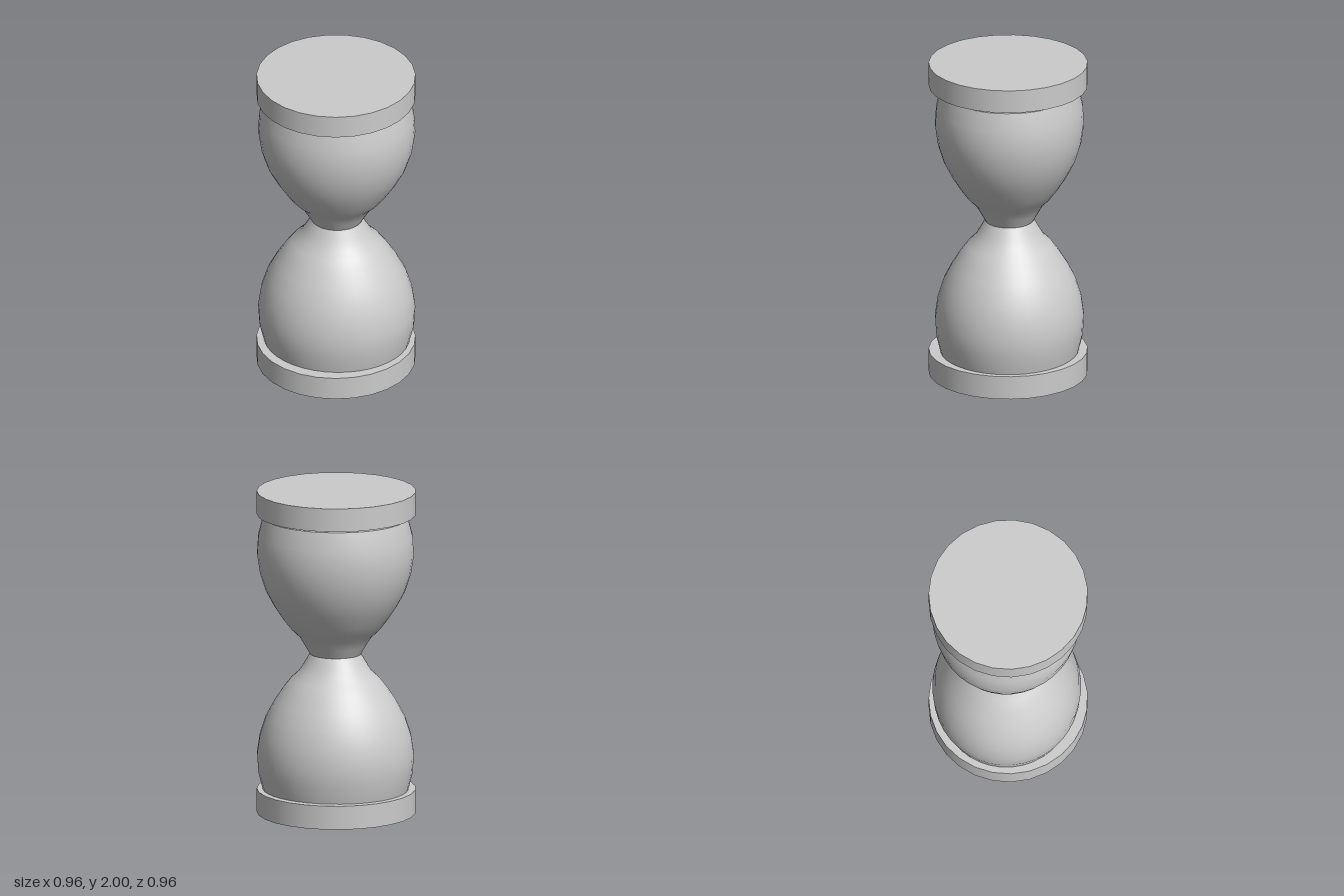
import * as THREE from 'three';

export function createModel() {
  const group = new THREE.Group();
  group.name = 'hourglass';
  const material = new THREE.MeshStandardMaterial({ color: 0xcccccc });
  const glass = new THREE.MeshStandardMaterial({ color: 0xcccccc, side: THREE.DoubleSide });

  // End plates: 27-sided discs with a corner on +x
  function addPlate(name, bottom, top) {
    const geometry = new THREE.CylinderGeometry(0.483, 0.483, top - bottom, 27, 1, false, Math.PI / 2);
    const plate = new THREE.Mesh(geometry, material);
    plate.name = name;
    plate.position.y = (bottom + top) / 2;
    group.add(plate);
  }
  addPlate('bottomPlate', 0, 0.146);
  addPlate('topPlate', 1.857, 2);

  // Bulb profile: radius and distance from the neck
  const neckY = 0.988;
  const profile = [
    [0.156, 0], [0.188, 0.055], [0.222, 0.11], [0.272, 0.157], [0.318, 0.216],
    [0.374, 0.3], [0.425, 0.395], [0.461, 0.505], [0.478, 0.62], [0.471, 0.735], [0.442, 0.85],
  ];

  // Slightly oval bulbs, mirrored about the neck, each closed at its wide end
  function addBulb(name, direction) {
    const points = profile.map(([r, d]) => new THREE.Vector2(r, direction * d));
    if (direction < 0) points.reverse();
    const bulb = new THREE.Group();
    bulb.name = name;

    const wall = new THREE.Mesh(new THREE.LatheGeometry(points, 40), glass);
    wall.name = name + 'Wall';
    const end = new THREE.Mesh(new THREE.CircleGeometry(0.442, 40), glass);
    end.name = name + 'End';
    end.rotation.x = -direction * Math.PI / 2;
    end.position.y = direction * 0.85;

    bulb.add(wall, end);
    bulb.position.set(0.003, neckY, -0.009);
    bulb.scale.z = 0.945;
    group.add(bulb);
  }
  addBulb('upperBulb', 1);
  addBulb('lowerBulb', -1);

  return group;
}
